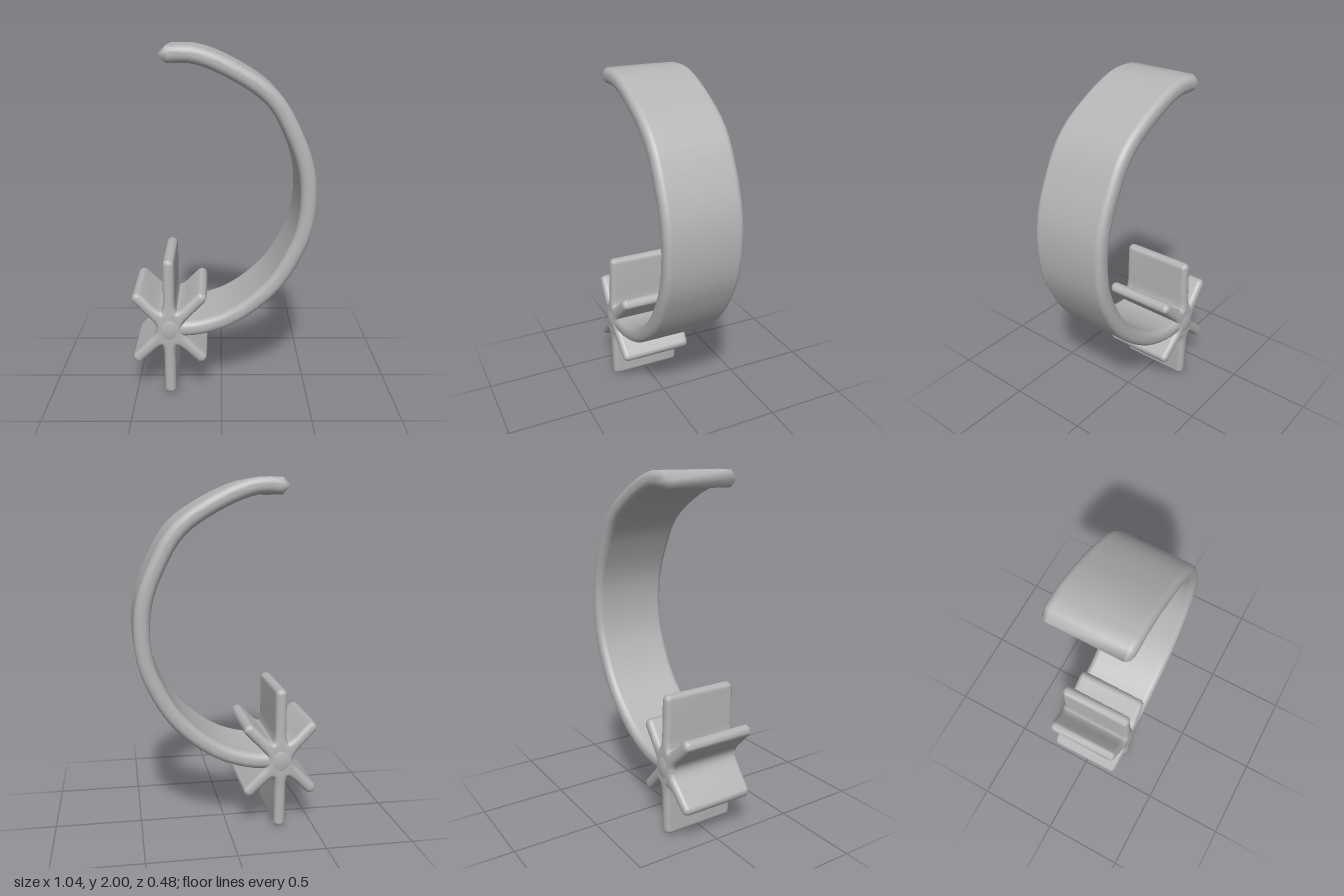
import * as THREE from 'three';
import { mergeVertices } from 'three/addons/utils/BufferGeometryUtils.js';

// Extrude an outline along z with a rounded rim, centred on z = 0, smooth-shaded
function roundedSlab(points, rim, halfDepth, bulge) {
  let geo = new THREE.ExtrudeGeometry(new THREE.Shape(points), {
    depth: 2 * (halfDepth - rim), steps: 1,
    bevelEnabled: true, bevelSize: rim, bevelThickness: rim, bevelSegments: 5,
  });
  geo.translate(0, 0, rim - halfDepth);
  geo.translate(0, 0, rim - halfDepth - geo.boundingBox?.min.z || 0);
  geo.computeBoundingBox();
  geo.translate(0, 0, -(geo.boundingBox.min.z + geo.boundingBox.max.z) / 2);
  if (bulge) {
    const p = geo.attributes.position;
    for (let i = 0; i < p.count; i++) p.setZ(i, p.getZ(i) * bulge(Math.hypot(p.getX(i), p.getY(i))));
  }
  geo.deleteAttribute('normal');
  geo.deleteAttribute('uv');
  geo = mergeVertices(geo, 1e-5);
  geo.computeVertexNormals();
  return geo;
}

// Thin outline around a centre line, with small round ends
function bandOutline(centres, w) {
  const curve = new THREE.CatmullRomCurve3(centres.map(([x, y]) => new THREE.Vector3(x, y, 0)), false, 'centripetal');
  const n = 44, left = [], right = [];
  for (let i = 0; i <= n; i++) {
    const p = curve.getPointAt(i / n), t = curve.getTangentAt(i / n);
    left.push(new THREE.Vector2(p.x - t.y * w, p.y + t.x * w));
    right.push(new THREE.Vector2(p.x + t.y * w, p.y - t.x * w));
    if (i === 0) left.unshift(new THREE.Vector2(p.x - t.x * w, p.y - t.y * w));
    if (i === n) left.push(new THREE.Vector2(p.x + t.x * w, p.y + t.y * w));
  }
  return [...left, ...right.reverse()];
}

// Six-rayed star outline with filleted valleys
function starOutline(w) {
  const rays = [[45.5, 0.262], [90, 0.39], [134.5, 0.262], [225.5, 0.262], [270, 0.39], [314.5, 0.262]];
  const pts = [];
  const along = (deg, d, s) => {
    const a = THREE.MathUtils.degToRad(deg);
    return new THREE.Vector2(Math.cos(a) * d - Math.sin(a) * s, Math.sin(a) * d + Math.cos(a) * s);
  };
  rays.forEach(([deg, len], i) => {
    const next = i < 5 ? rays[i + 1][0] : rays[0][0] + 360;
    const gap = next - deg, start = gap > 60 ? 0.115 : 0.172;
    for (const a of [-90, -45, 0, 45, 90]) {
      const r = THREE.MathUtils.degToRad(a);
      pts.push(along(deg, len - w + Math.cos(r) * w, Math.sin(r) * w));
    }
    const valley = along((deg + next) / 2, w / Math.sin(THREE.MathUtils.degToRad(gap / 2)), 0);
    pts.push(...new THREE.QuadraticBezierCurve(along(deg, start, w), valley, along(next, start, -w)).getPoints(10));
  });
  return pts;
}

export function createModel() {
  const grey = new THREE.MeshStandardMaterial({ color: 0xb4b4b4 });
  grey.name = 'plain grey';
  const model = new THREE.Group();
  model.name = 'hookWithStar';
  const add = (geo, name, parent) => {
    const mesh = new THREE.Mesh(geo, grey);
    mesh.name = name;
    parent.add(mesh);
    return mesh;
  };

  // Wide curved band
  const path = [[-0.272, 1.955], [-0.15, 1.953], [0.03, 1.887], [0.265, 1.733], [0.382, 1.55], [0.465, 1.32],
    [0.465, 1.05], [0.4, 0.86], [0.275, 0.665], [0.05, 0.487], [-0.155, 0.42], [-0.26, 0.418]];
  add(roundedSlab(bandOutline(path, 0.008), 0.037, 0.228), 'curvedBand', model);

  // Star at the lower end, a little deeper in the middle
  const star = new THREE.Group();
  star.name = 'star';
  star.position.set(-0.3, 0.42, 0);
  model.add(star);
  const bulge = (r) => 1 + 0.055 * THREE.MathUtils.clamp(1 - (r - 0.06) / 0.2, 0, 1);
  add(roundedSlab(starOutline(0.005), 0.028, 0.222, bulge), 'starRays', star);

  // Soft domes over the front and back of the hub
  for (const side of [1, -1]) {
    const dome = add(new THREE.SphereGeometry(1, 24, 16), side > 0 ? 'frontHub' : 'backHub', star);
    dome.scale.set(0.075, 0.085, 0.028);
    dome.position.z = side * 0.213;
  }
  return model;
}
